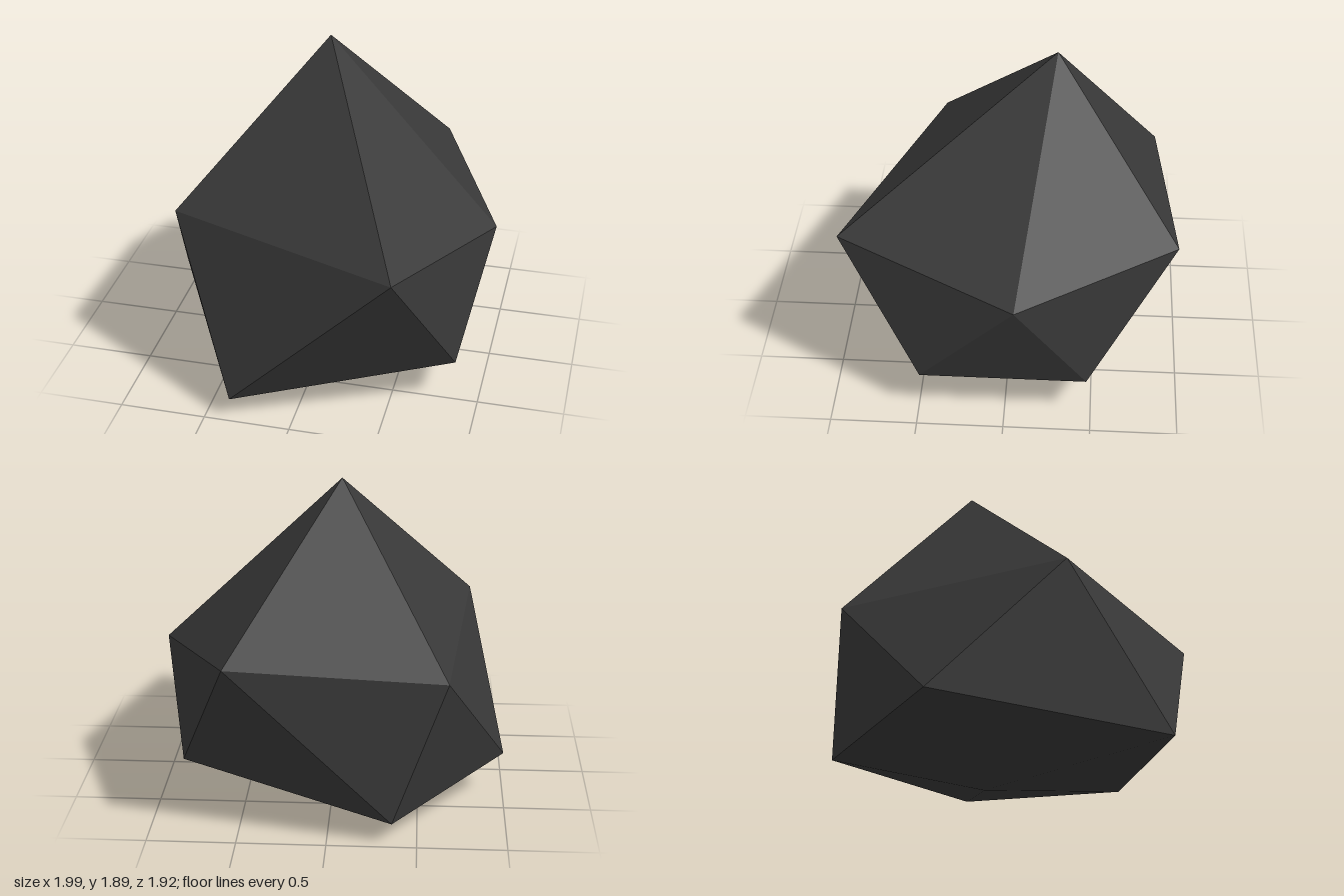
import * as THREE from 'three';

const stone = new THREE.MeshStandardMaterial({ color: 0x383838, flatShading: true });
stone.name = 'dark stone';

// Rock corners: a top, two staggered rings of five, and a bottom
const top = [-0.05, 1.89, -0.25];
const upper = [
  [0.56, 1.01, 0.96], [0.99, 0.86, -0.06], [0.56, 1.01, -0.96],
  [-0.66, 0.91, -0.85], [-0.8, 1.02, 0.46],
];
const lower = [
  [0.86, 0.25, 0.49], [0.86, 0.25, -0.47], [-0.36, 0.12, -0.96],
  [-1, 0.24, -0.27], [-0.36, 0.12, 0.96],
];
const bottom = [-0.03, 0, -0.16];

export function createModel() {
  const positions = [];
  const face = (...corners) => corners.forEach((c) => positions.push(...c));

  // Cap, two bands of side facets, and base, one fifth at a time
  for (let i = 0; i < 5; i++) {
    const n = (i + 1) % 5;
    face(top, upper[i], upper[n]);
    face(upper[i], lower[i], upper[n]);
    face(lower[i], lower[n], upper[n]);
    face(lower[n], lower[i], bottom);
  }

  const geometry = new THREE.BufferGeometry();
  geometry.setAttribute('position', new THREE.Float32BufferAttribute(positions, 3));
  geometry.computeVertexNormals();

  const rock = new THREE.Mesh(geometry, stone);
  rock.name = 'rock';
  const group = new THREE.Group();
  group.name = 'facetedRock';
  group.add(rock);
  return group;
}
